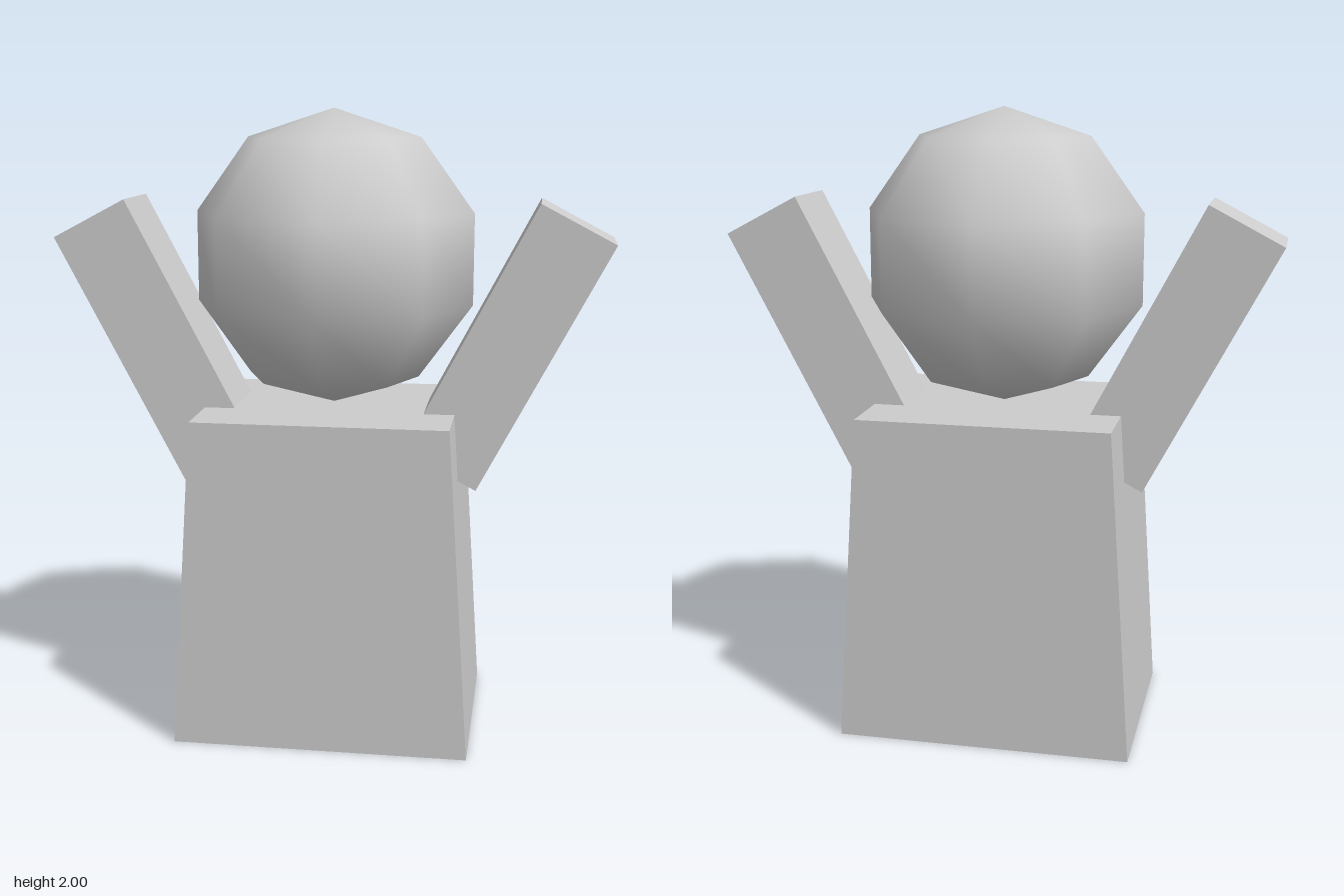
import * as THREE from 'three';

const grey = new THREE.MeshStandardMaterial({ color: 0xcccccc });
grey.name = 'light grey';

function addPart(parent, name, geometry) {
  const mesh = new THREE.Mesh(geometry, grey);
  mesh.name = name;
  parent.add(mesh);
  return mesh;
}

export function createModel() {
  const model = new THREE.Group();
  model.name = 'figure';

  // Body: block that narrows towards the shoulders, seen from the front
  const [bottom, top, height, depth] = [0.47, 0.4, 1.06, 0.704];
  const outline = new THREE.Shape([
    new THREE.Vector2(-bottom, 0),
    new THREE.Vector2(bottom, 0),
    new THREE.Vector2(top, height),
    new THREE.Vector2(-top, height),
  ]);
  const bodyGeometry = new THREE.ExtrudeGeometry(outline, { depth, bevelEnabled: false });
  bodyGeometry.translate(0, 0, -depth / 2);
  addPart(model, 'body', bodyGeometry);

  // Head: coarse ball with smooth shading, just touching the body
  addPart(model, 'head', new THREE.SphereGeometry(0.467, 8, 5)).position.y = 1.533;

  // Raised arms, mirrored, sunk into the shoulders
  for (const [name, side] of [['leftArm', 1], ['rightArm', -1]]) {
    const arm = addPart(model, name, new THREE.BoxGeometry(0.262, 0.882, 0.262));
    arm.position.set(side * 0.56, 1.268, 0);
    arm.rotation.z = -side * 0.484;
  }
  return model;
}
